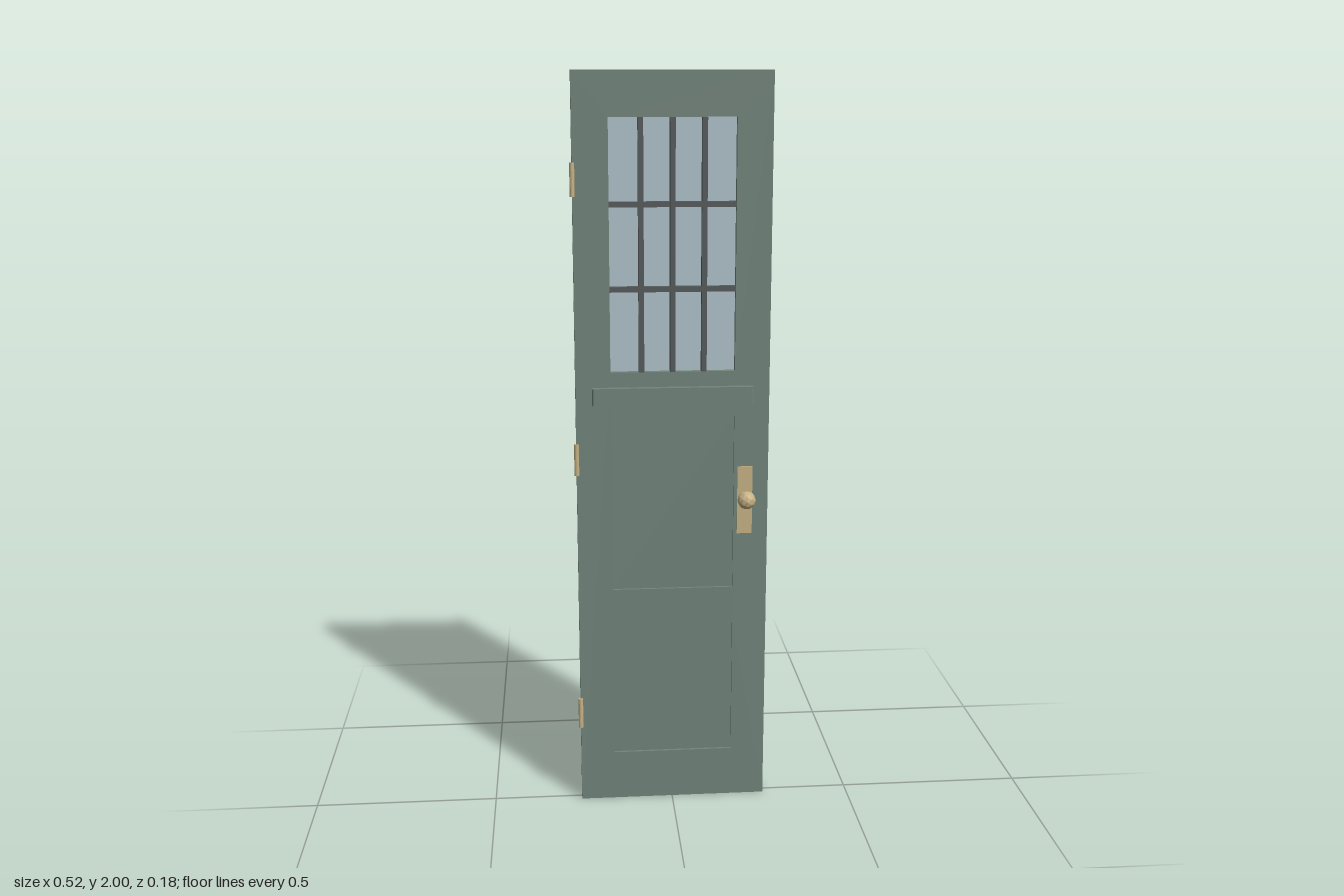
import * as THREE from 'three';

export function createModel() {
  const door = new THREE.Group();
  door.name = 'door';
  const paint = (name, color) => {
    const m = new THREE.MeshStandardMaterial({ color });
    m.name = name;
    return m;
  };
  const green = paint('greenPaint', 0x71847a);
  const glass = paint('paleGlass', 0xafc1ca);
  const lead = paint('darkBars', 0x565a5a);
  const brass = paint('brass', 0xc6b184);
  brass.flatShading = true;

  const add = (name, geometry, material, x = 0, y = 0, z = 0) => {
    const mesh = new THREE.Mesh(geometry, material);
    mesh.name = name;
    mesh.position.set(x, y, z);
    door.add(mesh);
    return mesh;
  };
  const box = (name, material, x0, x1, y0, y1, z0, z1) =>
    add(name, new THREE.BoxGeometry(x1 - x0, y1 - y0, z1 - z0), material,
      (x0 + x1) / 2, (y0 + y1) / 2, (z0 + z1) / 2);
  const rectangle = (path, x0, x1, y0, y1) =>
    path.moveTo(x0, y0).lineTo(x1, y0).lineTo(x1, y1).lineTo(x0, y1).closePath();

  // Frame with three openings
  const half = 0.0205, left = -0.163, right = 0.167;
  const winLow = 1.23, winHigh = 1.885;
  const panels = [[0.14, 0.52], [0.625, 1.107]];
  const outline = rectangle(new THREE.Shape(), -0.256, 0.26, 0, 2);
  for (const [y0, y1] of [...panels, [winLow, winHigh]])
    outline.holes.push(rectangle(new THREE.Path(), left, right, y0, y1));
  add('frame', new THREE.ExtrudeGeometry(outline, { depth: half * 2, bevelEnabled: false }),
    green, 0, 0, -half);

  // Recessed panels and window pane
  for (const [y0, y1] of panels) box('panel', green, left, right, y0, y1, -0.013, 0.013);
  box('windowPane', glass, left, right, winLow, winHigh, -0.003, 0.003);

  // Glazing bars, front side only
  const bar = 0.007;
  for (let i = 1; i < 4; i++) {
    const x = left + (right - left) * i / 4;
    box('verticalBar', lead, x - bar, x + bar, winLow, winHigh, 0.003, 0.022);
  }
  for (let i = 1; i < 3; i++) {
    const y = winLow + (winHigh - winLow) * i / 3;
    box('horizontalBar', lead, left, right, y - bar, y + bar, 0.003, 0.0215);
  }

  // Ledge with rounded corners, reaching out on both sides
  const w = 0.2145, d = 0.0385, r = 0.006;
  const plan = new THREE.Shape()
    .moveTo(-w + r, -d).lineTo(w - r, -d).quadraticCurveTo(w, -d, w, -d + r)
    .lineTo(w, d - r).quadraticCurveTo(w, d, w - r, d)
    .lineTo(-w + r, d).quadraticCurveTo(-w, d, -w, d - r)
    .lineTo(-w, -d + r).quadraticCurveTo(-w, -d, -w + r, -d);
  const ledge = new THREE.ExtrudeGeometry(plan, { depth: 0.046, bevelEnabled: false, curveSegments: 4 });
  ledge.rotateX(-Math.PI / 2);
  add('ledge', ledge, green, 0.0025, 1.144, 0);

  // Handle plates, spindles and knobs on both sides
  const handleX = 0.197, handleY = 0.885;
  for (const side of [1, -1]) {
    add('handlePlate', new THREE.BoxGeometry(0.041, 0.188, 0.006), brass,
      handleX, 0.874, side * 0.0215);
    const spindle = add('spindle', new THREE.CylinderGeometry(0.006, 0.006, 0.03, 10), brass,
      handleX, handleY, side * 0.035);
    spindle.rotation.x = Math.PI / 2;
    add('knob', new THREE.IcosahedronGeometry(0.025, 1), brass, handleX, handleY, side * 0.0645);
  }

  // Hinge barrels
  for (const y of [0.265, 0.995, 1.73])
    add('hinge', new THREE.CylinderGeometry(0.0065, 0.0065, 0.086, 12), brass, -0.2555, y, 0.0222);

  return door;
}
